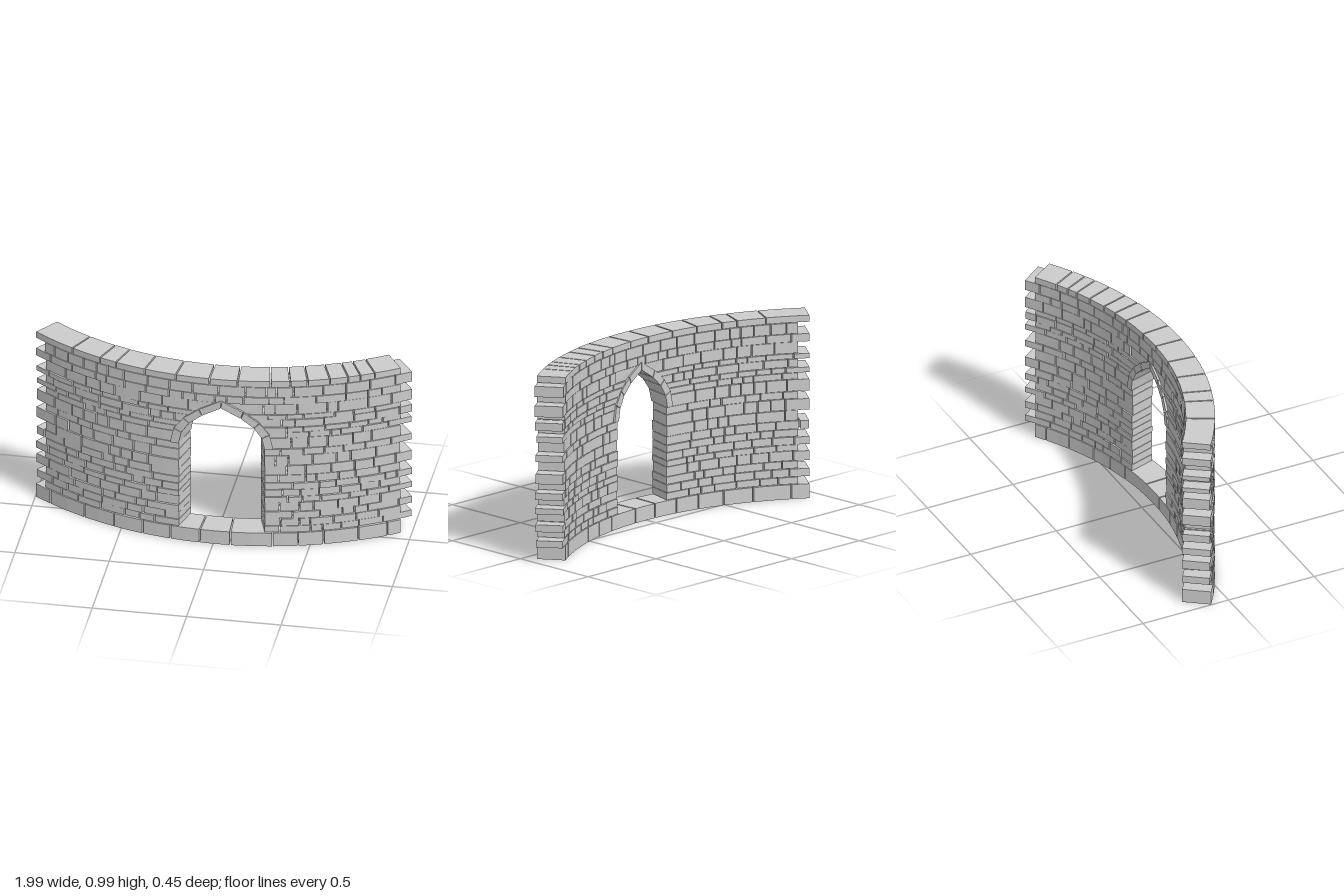
import * as THREE from 'three';
import { mergeGeometries } from 'three/addons/utils/BufferGeometryUtils.js';

// The wall is an arc around a vertical axis at z = AXIS; angles are measured from +z
const AXIS = -1.465, R_OUT = 1.69, R_IN = 1.535;
const END_LONG = 0.631, END_SHORT = 0.592, GAP = 0.0022;
// Doorway: centre angle and half-width angles on the outer and inner face
const DOOR = 0.0255, HALF_OUT = 0.135, HALF_IN = 0.1207;
// Half arch from spring to apex: [fraction of half-width, height]
const INTRADOS = [[1, 0.58], [0.93, 0.65], [0.75, 0.71], [0.45, 0.765], [0, 0.82]];
const EXTRADOS = [[1.2, 0.58], [1.11, 0.67], [0.88, 0.738], [0.52, 0.80], [0, 0.863]];
// Bottom of each course, plus the top of the wall
const LEVELS = [0, 0.081, 0.12, 0.164, 0.206, 0.26, 0.294, 0.337, 0.377, 0.423, 0.48,
  0.542, 0.582, 0.647, 0.682, 0.712, 0.757, 0.786, 0.849, 0.894, 0.954, 0.992];
const BASE_JOINTS = [-0.91, -0.71, -0.54, -0.38, -0.23, -0.07, 0.09, 0.31, 0.44, 0.57, 0.74, 0.88];
const TOP_JOINTS = [-0.78, -0.62, -0.53, -0.37, -0.2, -0.02, 0.13, 0.3, 0.4, 0.49, 0.6, 0.69, 0.75, 0.82];

const { lerp } = THREE.MathUtils;
let seed = 7;
const random = () => {
  seed = (seed * 16807) % 2147483647;
  return seed / 2147483647;
};

const polar = (angle, y, r) => [Math.sin(angle) * r, y, AXIS + Math.cos(angle) * r];
const doorAngle = (u, outer) => DOOR + u * (outer ? HALF_OUT : HALF_IN);

// Closed solid through four-cornered sections ordered by increasing angle
function loft(sections) {
  const pos = [];
  const quad = (a, b, c, d) => pos.push(...a, ...b, ...c, ...a, ...c, ...d);
  for (let k = 0; k < sections.length - 1; k++) {
    const s = sections[k], t = sections[k + 1];
    for (let i = 0; i < 4; i++) quad(s[i], t[i], t[(i + 1) % 4], s[(i + 1) % 4]);
  }
  const last = sections[sections.length - 1];
  quad(...sections[0]);
  quad(last[3], last[2], last[1], last[0]);
  const geo = new THREE.BufferGeometry();
  geo.setAttribute('position', new THREE.Float32BufferAttribute(pos, 3));
  geo.computeVertexNormals();
  return geo;
}

// An end holds the angles of its four corners: outer bottom, outer top, inner top, inner bottom
const straightEnd = a => [a, a, a, a];
const doorEnd = (uLow, uHigh) => [
  doorAngle(uLow, true), doorAngle(uHigh, true), doorAngle(uHigh, false), doorAngle(uLow, false)];

function brick(endA, endB, y0, y1, rOut, rIn) {
  const n = Math.max(1, Math.ceil((endB[0] - endA[0]) / 0.07));
  const ys = [y0, y1, y1, y0], rs = [rOut, rOut, rIn, rIn];
  const sections = [];
  for (let k = 0; k <= n; k++) {
    sections.push(ys.map((y, i) => polar(lerp(endA[i], endB[i], k / n), y, rs[i])));
  }
  return loft(sections);
}

// Uneven joints between two angles
function randomJoints(a, b) {
  const n = Math.max(1, Math.round((b - a) / 0.066));
  const widths = Array.from({ length: n }, () => 0.5 + random());
  const total = widths.reduce((s, w) => s + w, 0);
  let sum = 0;
  return widths.slice(0, -1).map(w => a + (b - a) * (sum += w) / total);
}

// A run of bricks between two ends
function run(endA, endB, joints, y0, y1, rough) {
  const ends = [endA, ...joints.map(straightEnd), endB];
  const out = [];
  for (let i = 0; i < ends.length - 1; i++) {
    const a = ends[i].map(v => v + (i ? GAP : 0));
    const b = ends[i + 1].map(v => v - (i < ends.length - 2 ? GAP : 0));
    const rOut = R_OUT - (rough ? 0.002 + random() * 0.009 : random() * 0.002);
    const rIn = R_IN + (rough ? 0.001 + random() * 0.007 : random() * 0.002);
    out.push(brick(a, b, y0, y1, rOut, rIn));
  }
  return out;
}

// Half-width fraction along the middle of the arch ring, where courses stop
function ringAt(y) {
  const mid = INTRADOS.map((p, i) => [(p[0] + EXTRADOS[i][0]) / 2, (p[1] + EXTRADOS[i][1]) / 2]);
  if (y <= 0.581) return 1;
  for (let i = 0; i < mid.length - 1; i++) {
    const [a, b] = [mid[i], mid[i + 1]];
    if (y <= b[1]) return lerp(a[0], b[0], (y - a[1]) / (b[1] - a[1]));
  }
  return 0.01;
}

function course(i) {
  const y0 = LEVELS[i], y1 = LEVELS[i + 1] - 0.003;
  const last = LEVELS.length - 2;
  // Courses alternate which end is toothed out
  const start = i % 2 ? -END_SHORT : -END_LONG;
  const end = i % 2 ? END_LONG : END_SHORT;
  if (i === 0 || i === last) {
    const joints = (i ? TOP_JOINTS : BASE_JOINTS).map(x => Math.asin(x / R_OUT));
    return run(straightEnd(start), straightEnd(end), joints, y0, y1, false);
  }
  if (y0 > 0.84) {
    return run(straightEnd(start), straightEnd(end), randomJoints(start, end), y0, y1, i < last - 2);
  }
  const low = ringAt(y0), high = ringAt(y1);
  const left = doorEnd(-low, -high), right = doorEnd(low, high);
  return [
    ...run(straightEnd(start), left, randomJoints(start, left[0]), y0, y1, true),
    ...run(right, straightEnd(end), randomJoints(right[0], end), y0, y1, true),
  ];
}

// One wedge stone of the pointed arch; side is -1 or 1
function archStone(j, side) {
  const section = f => {
    const at = curve => [0, 1].map(c => lerp(curve[j][c], curve[j + 1][c], f));
    const [iu, iy] = at(INTRADOS), [eu, ey] = at(EXTRADOS);
    return [
      polar(doorAngle(side * iu, true), iy, R_OUT + 0.004),
      polar(doorAngle(side * eu, true), ey, R_OUT + 0.004),
      polar(doorAngle(side * eu, false), ey, R_IN - 0.004),
      polar(doorAngle(side * iu, false), iy, R_IN - 0.004),
    ];
  };
  const sections = [section(0.02), section(0.98)];
  return loft(side < 0 ? sections : sections.reverse());
}

export function createModel() {
  const group = new THREE.Group();
  group.name = 'curvedWallWithDoorway';
  const stone = new THREE.MeshStandardMaterial({ color: 0xcccccc, flatShading: true });
  const add = (name, geometries) => {
    const mesh = new THREE.Mesh(mergeGeometries(geometries), stone);
    mesh.name = name;
    group.add(mesh);
  };

  // Base, brick courses and coping
  const last = LEVELS.length - 2;
  for (let i = 0; i <= last; i++) {
    add(i === 0 ? 'baseCourse' : i === last ? 'copingCourse' : `brickCourse${i}`, course(i));
  }

  // Pointed arch ring
  for (const side of [-1, 1]) {
    add(side < 0 ? 'archRight' : 'archLeft', [0, 1, 2, 3].map(j => archStone(j, side)));
  }
  return group;
}
